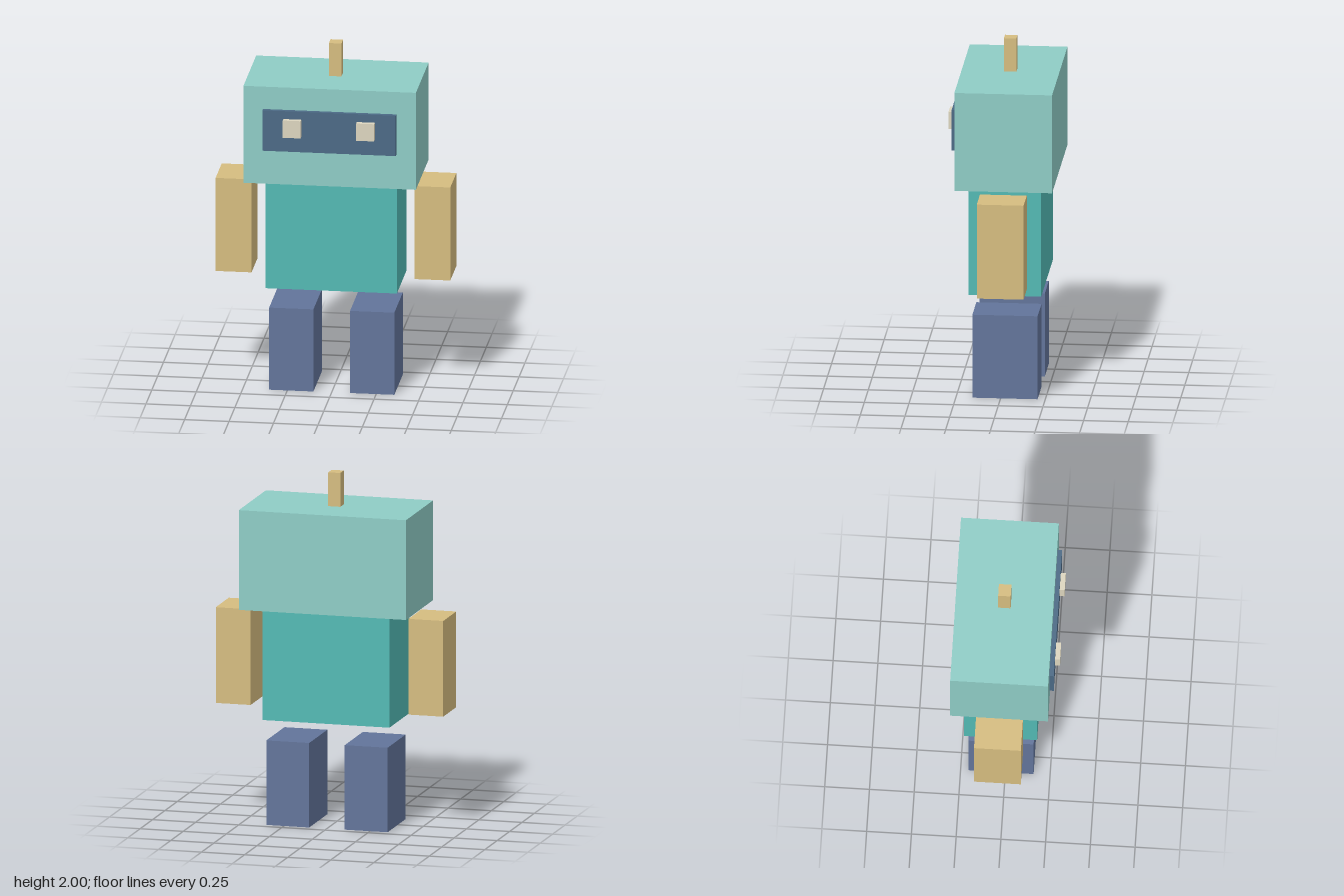
import * as THREE from 'three';

const paint = (color) => new THREE.MeshStandardMaterial({ color });

export function createModel() {
  const model = new THREE.Group();
  const mint = paint(0x8eccc5);
  const teal = paint(0x52b9b3);
  const tan = paint(0xd5bc7f);
  const slate = paint(0x62749a);
  const navy = paint(0x4b6985);
  const cream = paint(0xdcd5be);

  // Box given by its extents along each axis
  const block = (name, material, [x0, x1], [y0, y1], [z0, z1]) => {
    const mesh = new THREE.Mesh(new THREE.BoxGeometry(x1 - x0, y1 - y0, z1 - z0), material);
    mesh.position.set((x0 + x1) / 2, (y0 + y1) / 2, (z0 + z1) / 2);
    mesh.name = name;
    model.add(mesh);
  };

  // Left block on +x and its mirror image on -x
  const pair = (name, material, [x0, x1], y, z) => {
    block(`left${name}`, material, [x0, x1], y, z);
    block(`right${name}`, material, [-x1, -x0], y, z);
  };

  // Body
  block('head', mint, [-0.485, 0.485], [1.238, 1.807], [-0.3, 0.247]);
  block('torso', teal, [-0.369, 0.369], [0.602, 1.23], [-0.229, 0.179]);

  // Face and antenna
  block('visor', navy, [-0.375, 0.375], [1.439, 1.676], [0.24, 0.272]);
  pair('Eye', cream, [0.156, 0.257], [1.529, 1.63], [0.265, 0.3]);
  block('antenna', tan, [-0.035, 0.035], [1.8, 2], [-0.06, 0.01]);

  // Limbs, set apart from the torso
  pair('Arm', tan, [0.458, 0.66], [0.667, 1.213], [-0.156, 0.106]);
  pair('Leg', slate, [0.103, 0.352], [0, 0.482], [-0.207, 0.158]);

  return model;
}
